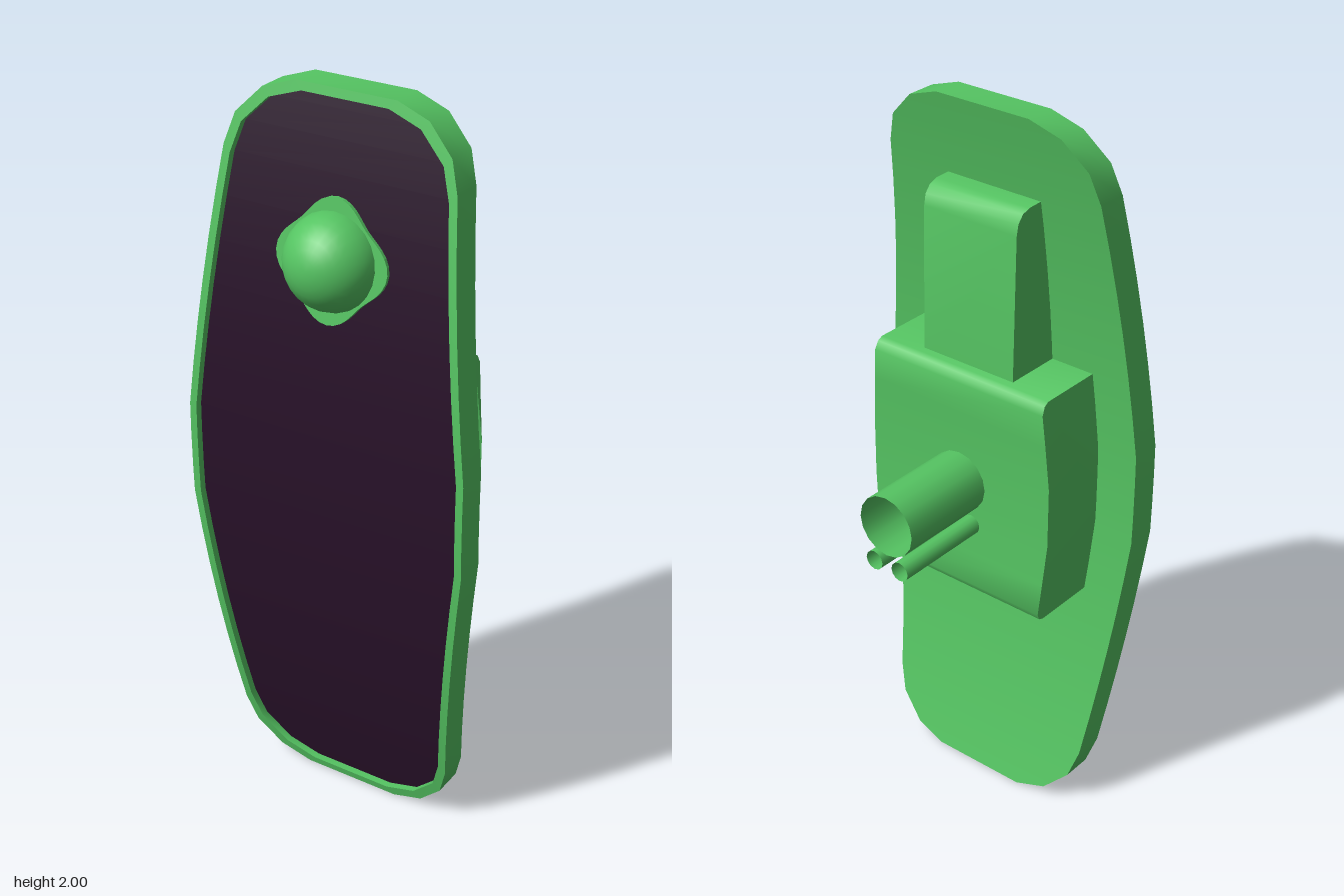
import * as THREE from 'three';
import { toCreasedNormals } from 'three/addons/utils/BufferGeometryUtils.js';

const green = new THREE.MeshStandardMaterial({ color: 0x55c462 });
const greenThin = new THREE.MeshStandardMaterial({ color: 0x55c462, side: THREE.DoubleSide });
const dark = new THREE.MeshStandardMaterial({ color: 0x281129 });

// Forward bow of the plate: furthest out at mid height
const bow = (y) => 0.265 - 0.125 * (y - 1) ** 2;

// Rows [half width, y] up the plate outline
function outlineRows() {
  const half = [[0.14, 0], [0.23, 0.03], [0.3, 0.1]];
  const steps = 6;
  for (let i = 0; i <= steps; i++) {
    const t = i / steps;
    half.push([0.325 + 0.08 * t, 0.18 + 0.69 * t]);
  }
  half.push([0.405, 0.95]);
  return [...half, ...half.map(([w, y]) => [w, 2 - y]).reverse()];
}

const insetRows = (rows) => rows.map(([w, y]) => [w - 0.02, 1 + (y - 1) * 0.978]);

// Counter-clockwise ring of points, set back from the bowed front
function ring(rows, back) {
  const right = rows.map(([w, y]) => [w, y, bow(y) - back]);
  const left = right.map(([x, y, z]) => [-x, y, z]).reverse();
  return [...right, ...left];
}

const quad = (out, a, b, c, d) => out.push(...a, ...b, ...c, ...a, ...c, ...d);

function band(out, a, b) {
  for (let i = 0; i < a.length; i++) {
    const j = (i + 1) % a.length;
    quad(out, a[i], a[j], b[j], b[i]);
  }
}

// Fill a ring with horizontal strips
function fill(out, r, facingBack) {
  const n = r.length;
  for (let i = 0; i < n / 2 - 1; i++) {
    const c = [r[n - 1 - i], r[i], r[i + 1], r[n - 2 - i]];
    if (facingBack) c.reverse();
    quad(out, ...c);
  }
}

function toGeometry(positions, crease) {
  const g = new THREE.BufferGeometry();
  g.setAttribute('position', new THREE.Float32BufferAttribute(positions, 3));
  return toCreasedNormals(g, crease);
}

// Side profile of [z, y] points extruded across x; halfWidth depends on height
function sideExtrude(points, halfWidth) {
  const shape = new THREE.Shape(points.map(([z, y]) => new THREE.Vector2(z, y)));
  const g = new THREE.ExtrudeGeometry(shape, { depth: 1, bevelEnabled: false });
  g.translate(0, 0, -0.5).rotateY(-Math.PI / 2);
  const p = g.attributes.position;
  for (let i = 0; i < p.count; i++) p.setX(i, Math.sign(p.getX(i)) * halfWidth(p.getY(i)));
  return toCreasedNormals(g, 0.7);
}

export function createModel() {
  const group = new THREE.Group();
  const add = (name, geometry, material = green) => {
    const mesh = new THREE.Mesh(geometry, material);
    mesh.name = name;
    group.add(mesh);
    return mesh;
  };

  // Bowed backing plate with a raised rim
  const rows = outlineRows();
  const inner = insetRows(rows);
  const backRing = ring(rows, 0.085);
  const frontRing = ring(rows, 0);
  const innerRing = ring(inner, 0);
  const panelRing = ring(inner, 0.02);
  const shell = [];
  band(shell, backRing, frontRing);
  band(shell, frontRing, innerRing);
  band(shell, innerRing, panelRing);
  fill(shell, backRing, true);
  add('plate', toGeometry(shell, 0.6));

  // Dark face set into the rim
  const face = [];
  fill(face, panelRing, false);
  add('facePanel', toGeometry(face, 0.6), dark);

  // Four-lobed collar and dome, leaning with the panel
  const knob = new THREE.Group();
  knob.name = 'knob';
  knob.position.set(0, 1.595, 0.195);
  knob.rotation.x = -0.15;
  const lobes = [];
  for (let i = 0; i < 48; i++) {
    const a = (i / 48) * Math.PI * 2;
    const r = 0.144 + 0.014 * Math.cos(4 * a);
    lobes.push(new THREE.Vector2(r * Math.cos(a), r * Math.sin(a)));
  }
  const collar = new THREE.Mesh(new THREE.ExtrudeGeometry(new THREE.Shape(lobes), {
    depth: 0.015, bevelEnabled: false,
  }), green);
  collar.name = 'collar';
  const domeGeometry = new THREE.SphereGeometry(0.125, 24, 8, 0, Math.PI * 2, 0, Math.PI / 2);
  const dome = new THREE.Mesh(domeGeometry.rotateX(Math.PI / 2), green);
  dome.name = 'dome';
  knob.add(collar, dome);
  group.add(knob);

  // Rear housing: hollowed back, sides swelling at mid height
  const housing = [
    [0.2, 0.68], [-0.015, 0.68], [-0.03, 0.686], [-0.04, 0.705], [-0.035, 0.8], [-0.03, 0.92],
    [-0.03, 1.09], [-0.035, 1.21], [-0.04, 1.3], [-0.03, 1.322], [-0.015, 1.33], [0.2, 1.33],
    [0.2, 1.09], [0.2, 0.92],
  ];
  const swell = (y) => 0.29 - 0.02 * Math.min(1, Math.max(0, Math.abs(y - 1.005) - 0.085) / 0.24);
  add('rearHousing', sideExtrude(housing, swell));

  // Narrow block running up from the housing
  const block = [
    [0.2, 1.3], [0.005, 1.3], [0.012, 1.72], [0.018, 1.75], [0.035, 1.77], [0.06, 1.778],
    [0.13, 1.78],
  ];
  add('upperBlock', sideExtrude(block.reverse(), () => 0.144));

  // Open tubes leaving the back
  const tube = (name, r, x, y, sides) => {
    const g = new THREE.CylinderGeometry(r, r, 0.29, sides, 1, true).rotateX(Math.PI / 2);
    add(name, g, greenThin).position.set(x, y, -0.17);
  };
  tube('mainTube', 0.085, 0, 1.005, 16);
  for (const s of [-1, 1]) tube(s > 0 ? 'smallTubeLeft' : 'smallTubeRight', 0.027, s * 0.042, 0.887, 12);

  return group;
}
